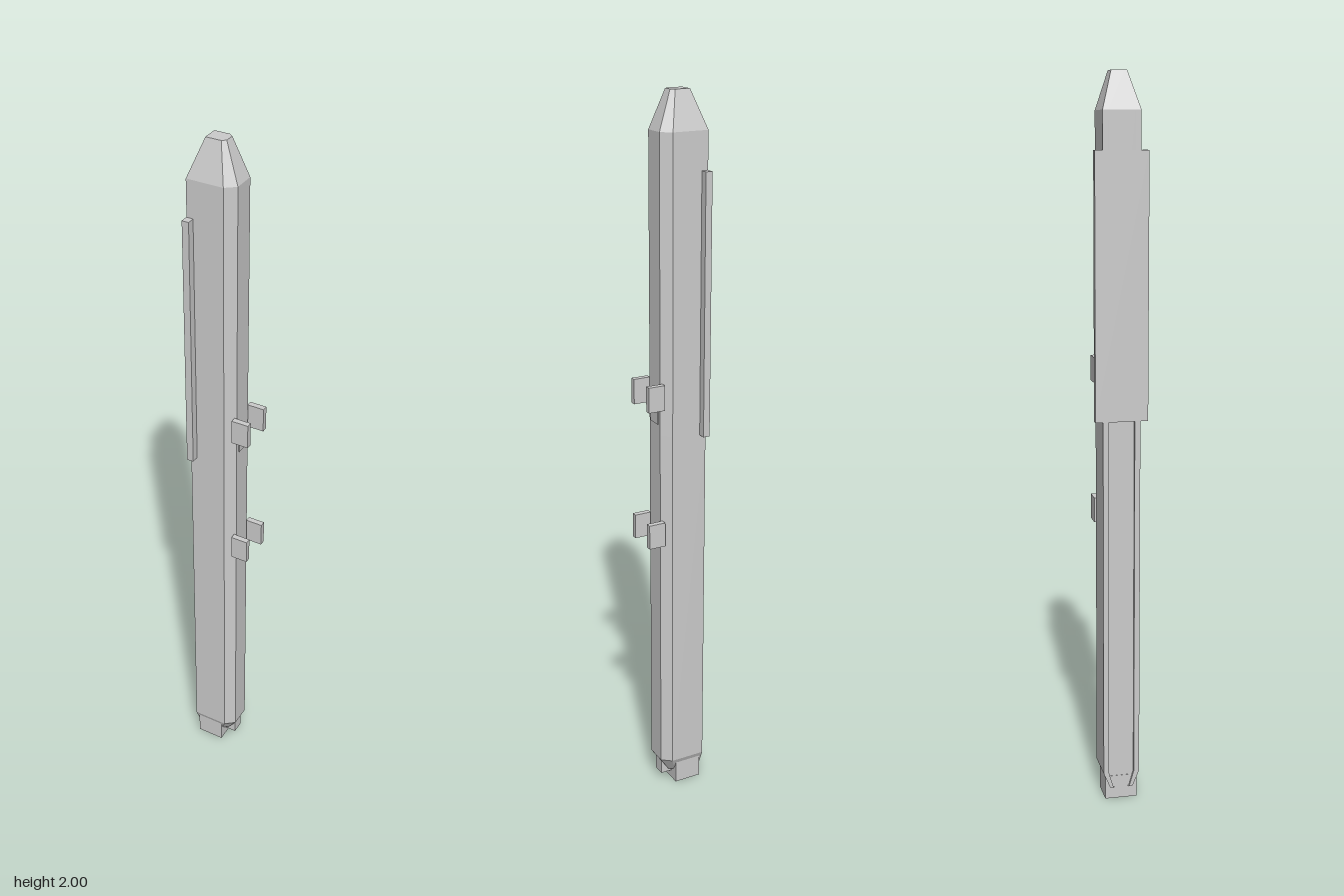
import * as THREE from 'three';

const material = new THREE.MeshStandardMaterial({ color: 0xcccccc, flatShading: true, side: THREE.DoubleSide });

// Box given by its lower and upper limits on each axis
function block(name, [x0, x1], [y0, y1], [z0, z1]) {
  const mesh = new THREE.Mesh(new THREE.BoxGeometry(x1 - x0, y1 - y0, z1 - z0), material);
  mesh.position.set((x0 + x1) / 2, (y0 + y1) / 2, (z0 + z1) / 2);
  mesh.name = name;
  return mesh;
}

// Chamfered cross-section with an optional shallow groove in its back
function section(y, back, mid, front, half, nose, groove) {
  const lip = half * 0.7;
  return [
    [front, nose], [front, -nose], [mid, -half], [back, -half], [back, -lip],
    [back + groove, -lip], [back + groove, lip], [back, lip], [back, half], [mid, half],
  ].map(([x, z]) => new THREE.Vector3(x, y, z));
}

// Skin stacked sections and close both ends
function loft(rings) {
  const points = [];
  const count = rings[0].length;
  for (let r = 0; r < rings.length - 1; r++) {
    for (let i = 0; i < count; i++) {
      const j = (i + 1) % count;
      const [a, b, c, d] = [rings[r][i], rings[r][j], rings[r + 1][j], rings[r + 1][i]];
      points.push(a, b, c, a, c, d);
    }
  }
  const cap = (ring, up) => {
    const centre = new THREE.Vector3();
    ring.forEach((p) => centre.addScaledVector(p, 1 / count));
    for (let i = 0; i < count; i++) {
      const j = (i + 1) % count;
      if (up) points.push(centre, ring[i], ring[j]);
      else points.push(centre, ring[j], ring[i]);
    }
  };
  cap(rings[0], false);
  cap(rings[rings.length - 1], true);
  const geometry = new THREE.BufferGeometry().setFromPoints(points);
  geometry.computeVertexNormals();
  return geometry;
}

export function createModel() {
  const model = new THREE.Group();
  model.name = 'mast';

  // Long chamfered body, tapered at both ends, grooved below the back plate
  const body = new THREE.Mesh(loft([
    section(0.035, -0.086, -0.005, 0.012, 0.032, 0.02, 0.008),
    section(0.08, -0.086, 0.015, 0.042, 0.051, 0.03, 0.008),
    section(1.1, -0.086, 0.015, 0.042, 0.051, 0.03, 0.008),
    section(1.1, -0.086, 0.015, 0.042, 0.051, 0.03, 0),
    section(1.9, -0.086, 0.015, 0.042, 0.051, 0.03, 0),
    section(2, -0.049, -0.007, 0.003, 0.021, 0.013, 0),
  ]), material);
  body.name = 'body';
  model.add(body);

  // Foot and the small nose block beside it
  model.add(block('foot', [-0.079, 0], [0, 0.068], [-0.045, 0.045]));
  model.add(block('noseBlock', [0, 0.034], [0.025, 0.075], [-0.018, 0.018]));

  // Wide plate across the back
  model.add(block('backPlate', [-0.087, -0.068], [1.09, 1.8], [-0.072, 0.072]));

  // Two pairs of mounting lugs
  for (const y of [0.782, 1.177]) {
    for (const side of [-1, 1]) {
      const z = side * 0.043;
      model.add(block(side > 0 ? 'frontLug' : 'rearLug', [0.038, 0.086], [y, y + 0.07], [z - 0.008, z + 0.008]));
    }
  }

  // Small pad under the upper lugs
  model.add(block('lugPad', [0.03, 0.045], [1.13, 1.18], [-0.02, 0.02]));

  return model;
}
